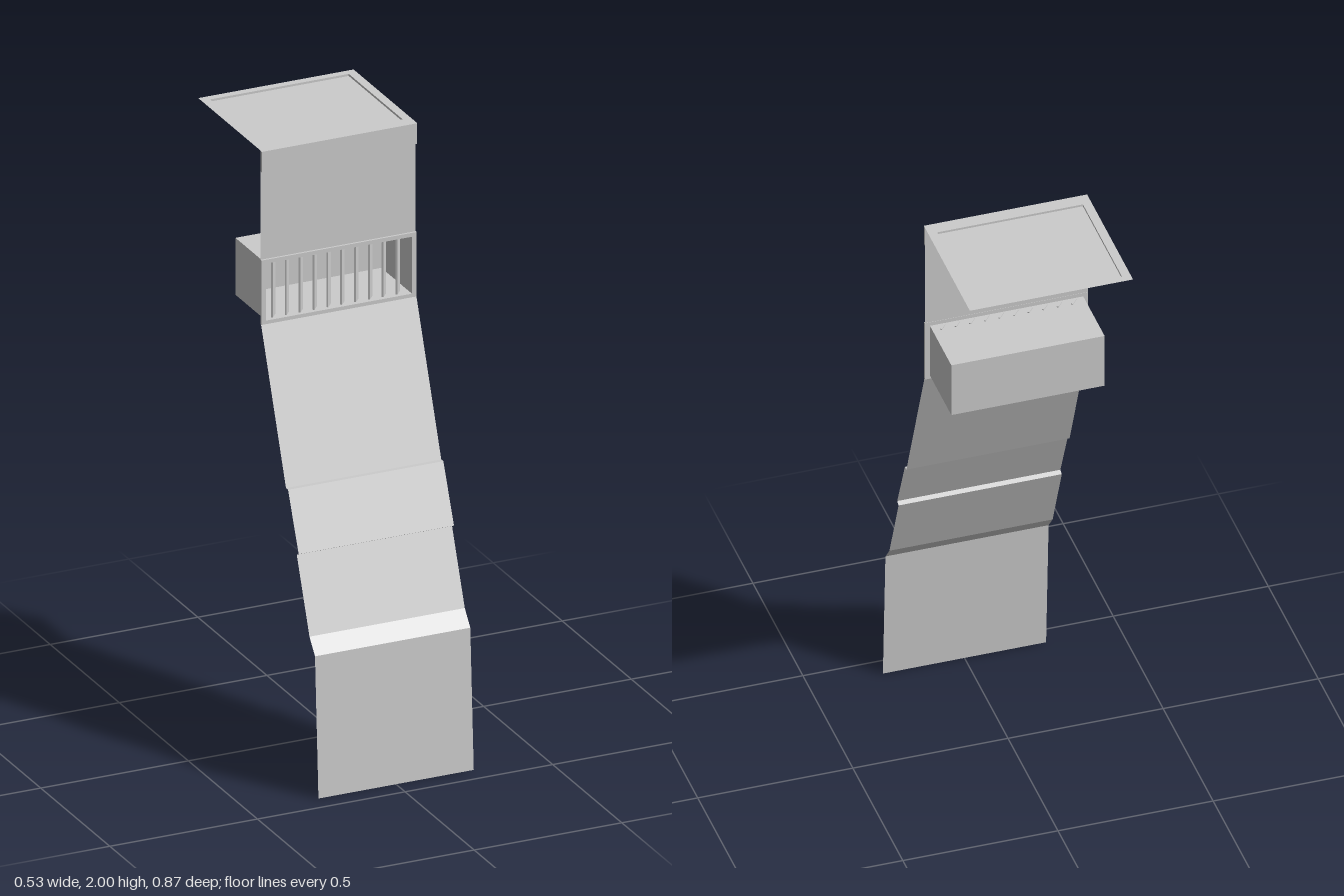
import * as THREE from 'three';

const HALF = 0.263; // half width of every panel
const material = new THREE.MeshStandardMaterial({ color: 0xcccccc, flatShading: true, side: THREE.DoubleSide });

export function createModel() {
  const group = new THREE.Group();

  const add = (name, geometry, x = 0, y = 0, z = 0) => {
    const mesh = new THREE.Mesh(geometry, material);
    mesh.name = name;
    mesh.position.set(x, y, z);
    group.add(mesh);
    return mesh;
  };

  // Thin sheet swept across x along a list of [y, z] points, front side outward
  const sheet = (name, profile) => {
    const pos = [];
    for (let i = 0; i < profile.length - 1; i++) {
      const [y0, z0] = profile[i], [y1, z1] = profile[i + 1];
      pos.push(-HALF, y0, z0, -HALF, y1, z1, HALF, y1, z1);
      pos.push(-HALF, y0, z0, HALF, y1, z1, HALF, y0, z0);
    }
    const geometry = new THREE.BufferGeometry();
    geometry.setAttribute('position', new THREE.Float32BufferAttribute(pos, 3));
    geometry.computeVertexNormals();
    return add(name, geometry);
  };

  // Rectangle outline from corner to corner
  const rect = (Type, x0, y0, x1, y1) => new Type([
    new THREE.Vector2(x0, y0), new THREE.Vector2(x1, y0),
    new THREE.Vector2(x1, y1), new THREE.Vector2(x0, y1),
  ]);

  // Top panel: flat rim around a shallow recess (shape y becomes -z)
  const rim = rect(THREE.Shape, -HALF, -0.025, HALF, 0.435);
  rim.holes.push(rect(THREE.Path, -0.235, 0.02, 0.235, 0.41));
  add('topPanelRim', new THREE.ShapeGeometry(rim).rotateX(-Math.PI / 2), 0, 2, 0);
  const depth = 0.007;
  add('topPanelInset', new THREE.PlaneGeometry(0.47, 0.39).rotateX(-Math.PI / 2), 0, 2 - depth, -0.215);
  for (const s of [-1, 1]) {
    add('insetSideWall', new THREE.PlaneGeometry(0.39, depth).rotateY(-s * Math.PI / 2), s * 0.235, 2 - depth / 2, -0.215);
    add('insetEndWall', new THREE.PlaneGeometry(0.47, depth).rotateY(s > 0 ? Math.PI : 0), 0, 2 - depth / 2, -0.215 + s * 0.195);
  }

  // Front lip under the top panel and the upright wall below it
  add('frontLip', new THREE.BoxGeometry(HALF * 2, 0.069, 0.01), 0, 1.9645, 0.02);
  sheet('upperWall', [[1.93, 0.015], [1.63, 0.015]]);

  // Vent frame with a rectangular opening
  const frame = rect(THREE.Shape, -HALF, 1.42, HALF, 1.635);
  frame.holes.push(rect(THREE.Path, -0.247, 1.432, 0.247, 1.622));
  add('ventFrame', new THREE.ExtrudeGeometry(frame, { depth: 0.008, bevelEnabled: false }), 0, 0, 0.014);

  // Vent box, open toward the front
  const box = new THREE.BoxGeometry(0.494, 0.19, 0.214).toNonIndexed();
  const open = new THREE.BufferGeometry();
  const kept = [...box.attributes.position.array];
  kept.splice(4 * 18, 18); // remove the front face
  open.setAttribute('position', new THREE.Float32BufferAttribute(kept, 3));
  open.computeVertexNormals();
  add('ventBox', open, 0, 1.527, -0.093);

  // Angled upright slats, their ends just through the vent box
  for (let i = 0; i < 10; i++) {
    const slat = add('ventSlat', new THREE.BoxGeometry(0.006, 0.196, 0.03), -0.211 + i * 0.0469, 1.527, -0.004);
    slat.rotation.y = -0.7;
  }

  // Sloping panels with a small ledge, an undercut and a kick-out, ending in the lower panel
  sheet('slopingPanels', [
    [1.42, 0.02], [0.945, 0.2], [0.945, 0.215], [0.76, 0.292],
    [0.753, 0.278], [0.515, 0.37], [0.465, 0.41],
  ]);
  sheet('lowerPanel', [[0.465, 0.41], [0, 0.435]]);

  return group;
}
